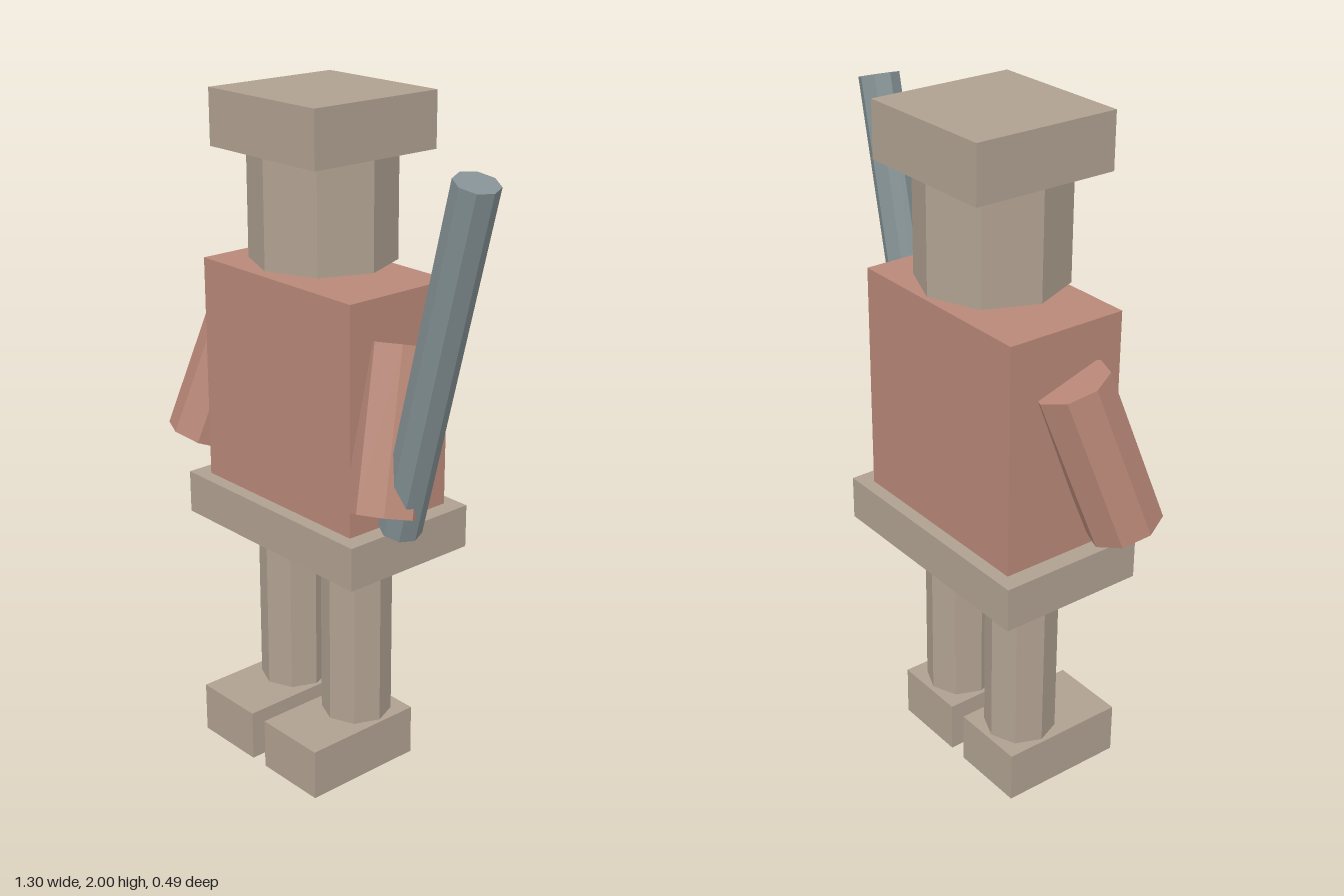
import * as THREE from 'three';

export function createModel() {
  const model = new THREE.Group();
  const material = (name, color) => {
    const m = new THREE.MeshStandardMaterial({ color, flatShading: true });
    m.name = name;
    return m;
  };
  const beige = material('beige', 0xb0a191);
  const red = material('dusty red', 0xb98878);
  const steel = material('steel', 0x849194);

  const add = (name, geometry, mat) => {
    const mesh = new THREE.Mesh(geometry, mat);
    mesh.name = name;
    model.add(mesh);
    return mesh;
  };
  // Box given by its centre x, width, and y and z ranges
  const box = (name, mat, x, width, y0, y1, z0, z1) =>
    add(name, new THREE.BoxGeometry(width, y1 - y0, z1 - z0), mat)
      .position.set(x, (y0 + y1) / 2, (z0 + z1) / 2);
  // Eight-sided rod running between two points
  const rod = (name, mat, radius, from, to) => {
    const a = new THREE.Vector3(...from);
    const b = new THREE.Vector3(...to);
    const axis = b.clone().sub(a);
    const mesh = add(name, new THREE.CylinderGeometry(radius, radius, axis.length(), 8), mat);
    mesh.position.copy(a).add(b).multiplyScalar(0.5);
    mesh.quaternion.setFromUnitVectors(new THREE.Vector3(0, 1, 0), axis.normalize());
  };

  // The body stands off centre so that the staff fits the frame
  const cx = -0.134;
  const cz = -0.023;

  box('cap', beige, cx, 0.44, 1.84, 2, -0.242, 0.194);
  rod('head', beige, 0.21, [cx, 1.53, cz], [cx, 1.84, cz]);
  box('torso', red, cx, 0.63, 0.83, 1.5, -0.207, 0.157);
  box('belt', beige, cx, 0.735, 0.7, 0.83, -0.246, 0.198);

  for (const [side, s] of [['left', 1], ['right', -1]]) {
    const legX = cx + s * 0.145;
    rod(`${side}Leg`, beige, 0.105, [legX, 0.155, -0.02], [legX, 0.7, -0.02]);
    box(`${side}Foot`, beige, legX, 0.232, 0, 0.155, -0.14, 0.245);
    rod(`${side}Arm`, red, 0.107, [cx + s * 0.41, 0.92, 0.115], [cx + s * 0.33, 1.355, -0.022]);
  }

  // Staff held in the left hand
  rod('staff', steel, 0.061, [0.295, 0.875, 0.075], [0.59, 1.885, 0.12]);

  return model;
}
